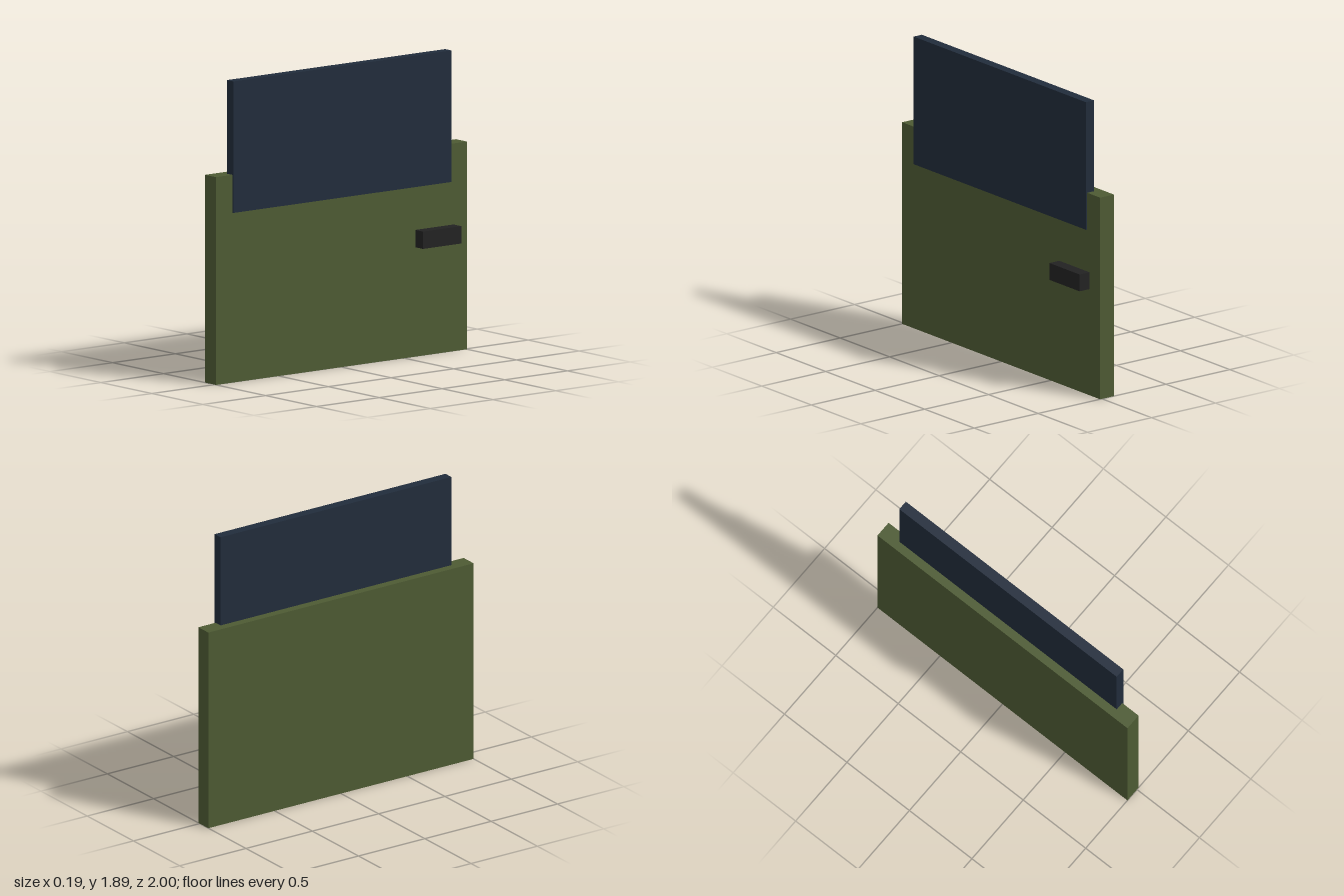
import * as THREE from 'three';

function material(name, color) {
  const m = new THREE.MeshStandardMaterial({ color });
  m.name = name;
  return m;
}

// Box given by its [min, max] extent along each axis
function slab(name, mat, [x0, x1], [y0, y1], [z0, z1]) {
  const mesh = new THREE.Mesh(new THREE.BoxGeometry(x1 - x0, y1 - y0, z1 - z0), mat);
  mesh.position.set((x0 + x1) / 2, (y0 + y1) / 2, (z0 + z1) / 2);
  mesh.name = name;
  return mesh;
}

export function createModel() {
  const olive = material('olive paint', 0x4d5a33);
  const glass = material('dark blue glass', 0x212c3b);
  const black = material('black plastic', 0x222222);

  const door = new THREE.Group();
  door.name = 'vehicleDoor';
  door.add(
    // Door panel
    slab('doorPanel', olive, [-0.093, 0.015], [0, 1.305], [-1, 1]),
    // Window pane, set into the panel and just proud of its outer face
    slab('windowPane', glass, [-0.039, 0.025], [1.067, 1.893], [-0.87, 0.87]),
    // Handle near the rear edge
    slab('doorHandle', black, [0.005, 0.092], [0.687, 0.796], [-0.893, -0.588])
  );
  return door;
}
